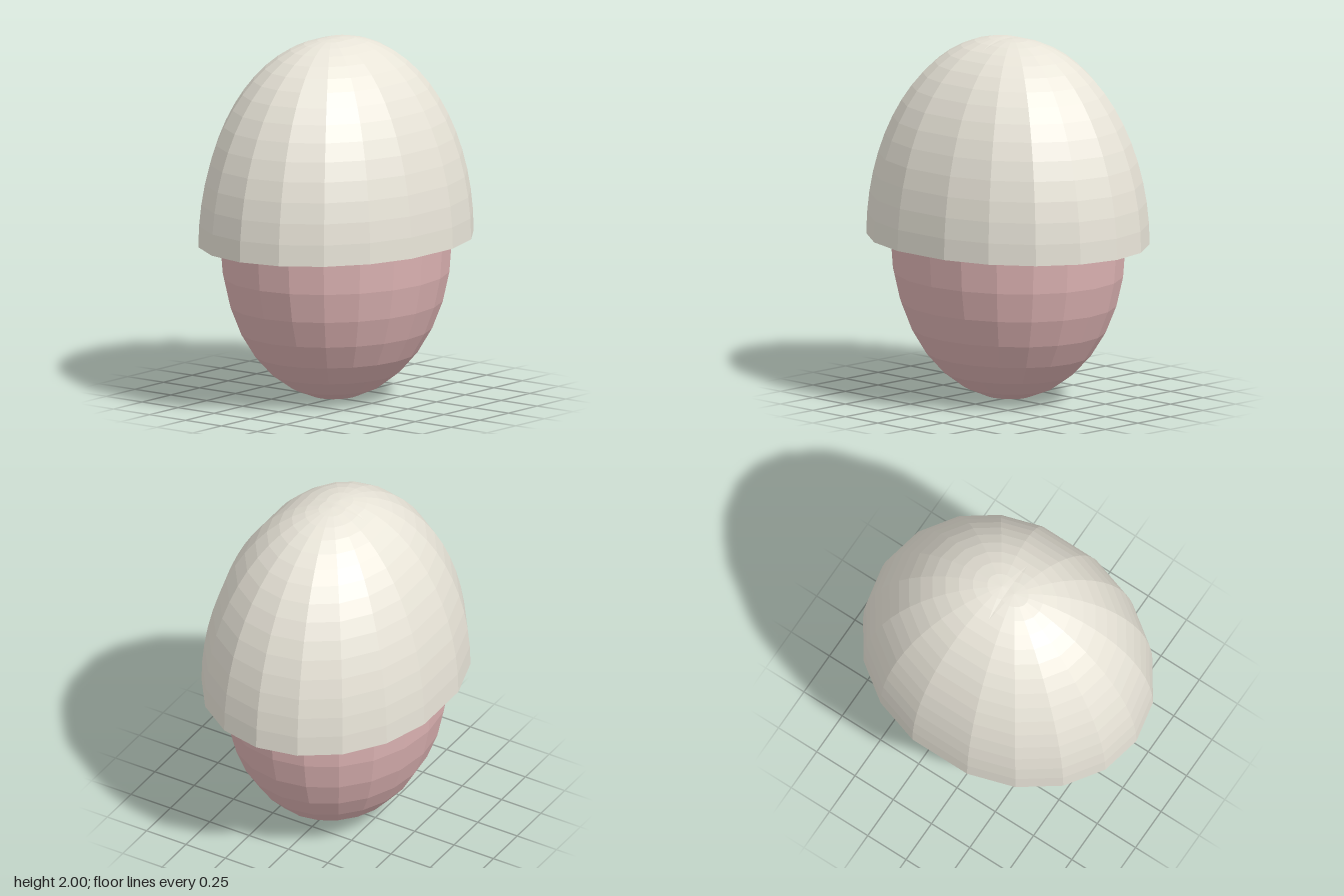
import * as THREE from 'three';

const paint = (color) => new THREE.MeshStandardMaterial({ color, flatShading: true, side: THREE.DoubleSide });

// Sphere (or part of one) stretched to an ellipsoid
function ellipsoid(name, material, segments, rings, thetaLength, radii, position) {
  const geometry = new THREE.SphereGeometry(1, segments, rings, 0, Math.PI * 2, 0, thetaLength);
  geometry.scale(...radii);
  const mesh = new THREE.Mesh(geometry, material);
  mesh.name = name;
  mesh.position.set(...position);
  return mesh;
}

export function createModel() {
  const model = new THREE.Group();
  model.name = 'cappedEgg';

  // Full egg-shaped body
  model.add(ellipsoid('body', paint(0xdeb4b4), 20, 16, Math.PI, [0.68, 0.865, 0.6], [0, 0.868, 0]));

  // Cap: two open, overlapping half shells set slightly apart
  const cap = new THREE.Group();
  cap.name = 'cap';
  const capMaterial = paint(0xe8e4d8);
  for (const [name, side] of [['leftCapShell', 1], ['rightCapShell', -1]]) {
    cap.add(ellipsoid(name, capMaterial, 18, 15, Math.PI / 2, [0.8, 1.115, 0.68], [side * 0.04, 0.885, 0]));
  }
  model.add(cap);
  return model;
}
